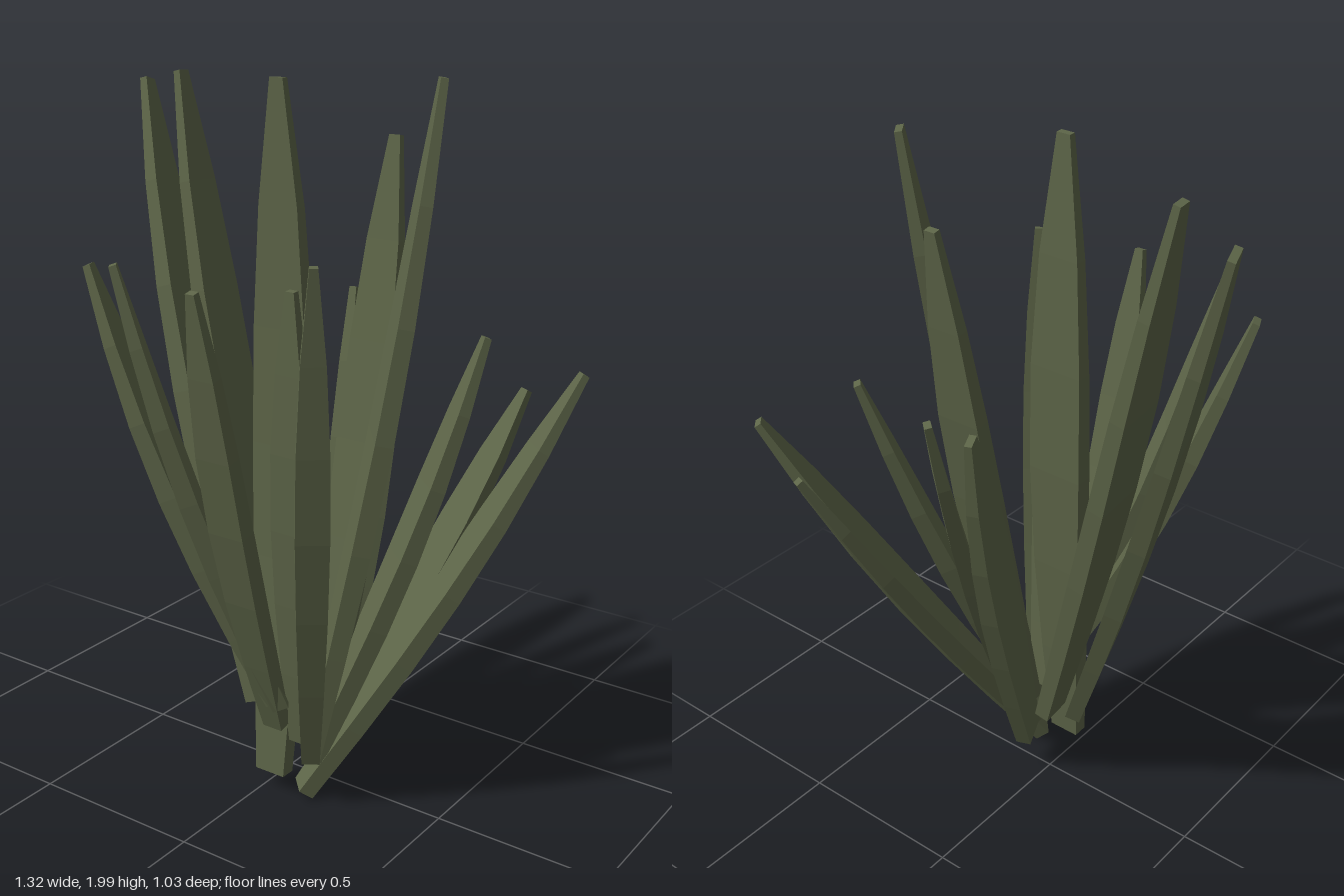
import * as THREE from 'three';

const material = new THREE.MeshStandardMaterial({ color: 0x5d6548, flatShading: true });

// Half-open list of widths and thicknesses from base to tip
const WIDTH = [0.56, 0.76, 0.92, 1, 0.96, 0.72, 0.24];
const THICK = [0.045, 0.05, 0.052, 0.05, 0.044, 0.034, 0.02];

// A flat, box-section spear leaf running from base to tip.
// heading is the horizontal direction (x, z) of its broad side; bow pushes its middle outwards.
function leaf(base, tip, heading, width, bow) {
  const a = new THREE.Vector3(...base);
  const b = new THREE.Vector3(...tip);
  const axis = b.clone().sub(a).normalize();
  const across = new THREE.Vector3(heading[0], 0, heading[1]);
  across.addScaledVector(axis, -across.dot(axis)).normalize();
  const normal = across.clone().cross(axis);
  const lean = new THREE.Vector3(b.x - a.x, 0, b.z - a.z);
  const side = normal.dot(lean) < 0 ? -1 : 1;

  const n = WIDTH.length - 1;
  const geometry = new THREE.BoxGeometry(1, 1, 1, 1, n, 1);
  const pos = geometry.attributes.position;
  const p = new THREE.Vector3();
  for (let i = 0; i < pos.count; i++) {
    const t = pos.getY(i) + 0.5;
    const k = Math.round(t * n);
    p.lerpVectors(a, b, t)
      .addScaledVector(across, pos.getX(i) * width * WIDTH[k])
      .addScaledVector(normal, pos.getZ(i) * THICK[k] + side * bow * Math.sin(Math.PI * t));
    pos.setXYZ(i, p.x, p.y, p.z);
  }
  geometry.computeVertexNormals();
  return new THREE.Mesh(geometry, material);
}

export function createModel() {
  const group = new THREE.Group();
  group.name = 'spikyPlant';

  // base, tip, heading of the broad side, greatest width, bow
  const leaves = [
    // right side
    [[-0.06, 0.25, 0.07], [-0.64, 1.94, -0.18], [0.35, 0.94], 0.25, 0.02],
    [[0.0, 0.24, 0.0], [-0.44, 1.98, -0.09], [0.08, 1], 0.17, 0.02],
    // front
    [[0.07, 0.33, 0.17], [-0.41, 1.52, 0.34], [0.45, 0.9], 0.17, 0.03],
    [[0.09, 0.32, 0.18], [-0.26, 1.55, 0.41], [0.6, 0.8], 0.13, 0.03],
    [[0.07, 0.25, 0.17], [0.07, 1.54, 0.5], [1, 0], 0.11, 0.03],
    [[0.17, 0.16, 0.15], [0.3, 1.6, 0.33], [0.8, -0.6], 0.09, 0.03],
    [[0.13, 0.2, 0.13], [0.15, 1.5, 0.21], [1, 0], 0.11, 0.02],
    // centre
    [[0.03, 0.07, 0.13], [0.015, 2, 0.08], [1, 0], 0.17, 0.035],
    // left side
    [[0.14, 0.16, 0.1], [0.355, 2, -0.15], [0.6, 0.8], 0.21, 0.02],
    [[0.14, 0.13, 0.1], [0.435, 1.32, -0.28], [0.7, 0.7], 0.13, 0.02],
    [[0.12, 0.03, 0.11], [0.64, 1.21, -0.46], [0.65, 0.76], 0.15, 0.02],
    // back
    [[0.13, 0.2, 0.05], [0.14, 1.83, -0.28], [1, 0], 0.14, 0.03],
    [[0.13, 0.08, 0.07], [0.445, 1.12, -0.51], [0.95, 0.3], 0.11, 0.02],
    [[0.07, 0.13, -0.02], [-0.06, 1.37, -0.39], [0.35, 0.94], 0.17, 0.01],
    [[0.13, 0.2, 0.0], [0.1, 1.35, -0.37], [0.75, 0.65], 0.12, 0.02],
  ];
  leaves.forEach((args, i) => {
    const mesh = leaf(...args);
    mesh.name = `leaf${i + 1}`;
    group.add(mesh);
  });
  return group;
}
